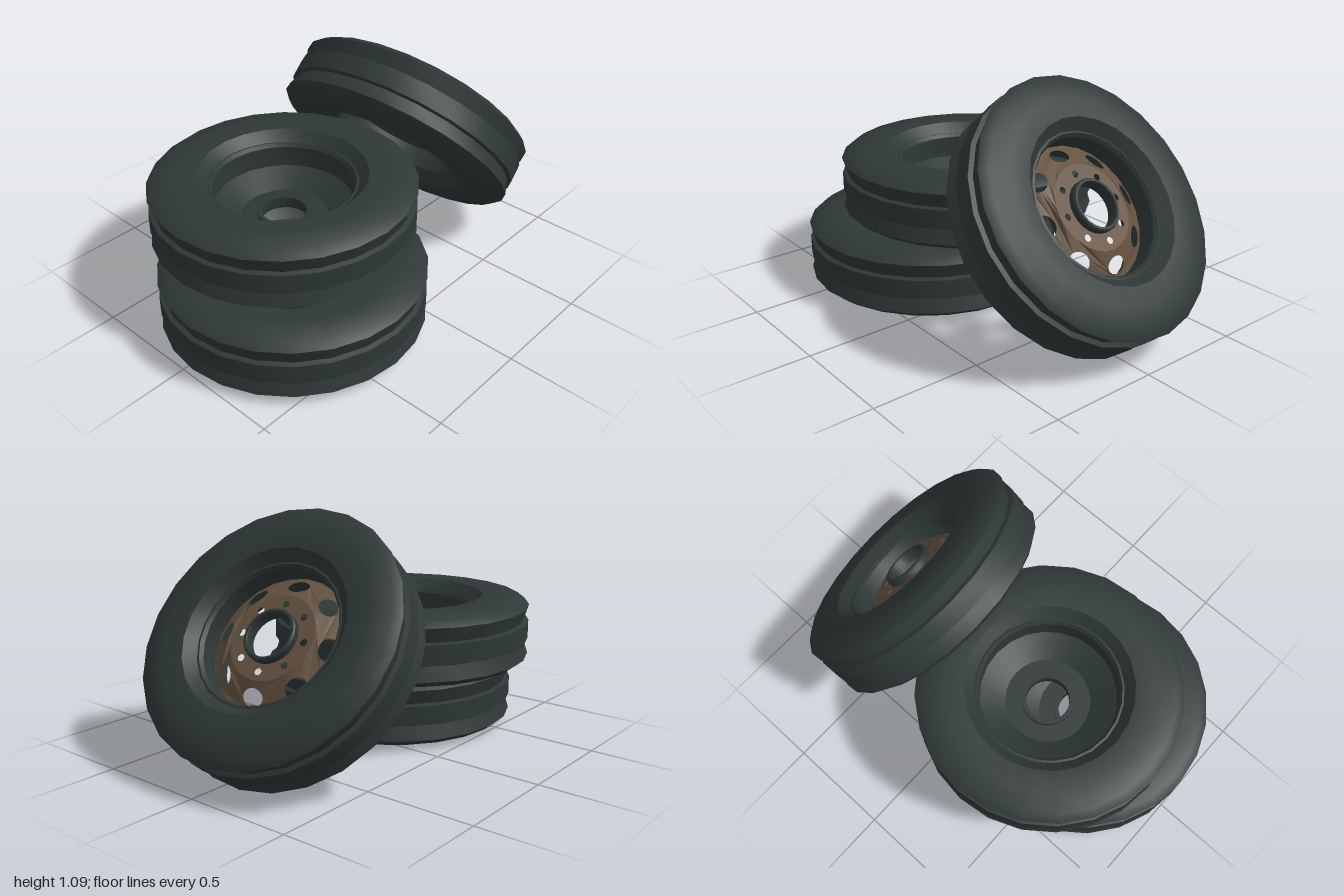
import * as THREE from 'three';
import { toCreasedNormals } from 'three/addons/utils/BufferGeometryUtils.js';

const SEGMENTS = 24;
const rubber = new THREE.MeshStandardMaterial({ color: 0x2e3837 });
const darkMetal = new THREE.MeshStandardMaterial({ color: 0x2c3635, side: THREE.DoubleSide });
const darkBack = new THREE.MeshStandardMaterial({ color: 0x2c3635, side: THREE.BackSide });
const rust = new THREE.MeshStandardMaterial({ color: 0x655240 });
rubber.name = 'rubber';
darkMetal.name = 'darkMetal';
darkBack.name = 'darkMetalBack';
rust.name = 'rustyBrown';

function addMesh(parent, name, geometry, material) {
  const mesh = new THREE.Mesh(geometry, material);
  mesh.name = name;
  parent.add(mesh);
  return mesh;
}

function lathe(points, crease = 0.5) {
  const profile = points.map(([r, y]) => new THREE.Vector2(r, y));
  return toCreasedNormals(new THREE.LatheGeometry(profile, SEGMENTS), crease);
}

// Closed tyre section: grooved tread, chamfered shoulders, sidewalls and inner barrel
function tyreGeometry() {
  const upper = [
    [0.605, 0.045], [0.585, 0.052], [0.606, 0.118], [0.57, 0.146],
    [0.475, 0.163], [0.385, 0.157], [0.34, 0.11], [0.33, 0.112], [0.318, 0.095],
  ];
  const lower = upper.map(([r, y]) => [r, -y]).reverse();
  const outerLower = lower.slice(-5);
  const innerLower = lower.slice(0, 5);
  return lathe([...outerLower, ...upper, ...innerLower]);
}

// Height of the dished disc at radius r
const dishHeight = (r) => (r <= 0.201 ? 0.07 : 0.07 - ((r - 0.2) / 0.12) * 0.065);

// Ring with eight elliptical holes, bent to the dish
function perforatedRing(inner, outer, holeRadius, radial, tangential) {
  const shape = new THREE.Shape();
  shape.absarc(0, 0, outer, 0, Math.PI * 2);
  const centre = new THREE.Path();
  centre.absarc(0, 0, inner, 0, Math.PI * 2, true);
  shape.holes.push(centre);
  for (let i = 0; i < 8; i++) {
    const a = (i * Math.PI) / 4;
    const hole = new THREE.Path();
    hole.absellipse(Math.cos(a) * holeRadius, Math.sin(a) * holeRadius,
      radial, tangential, 0, Math.PI * 2, true, a);
    shape.holes.push(hole);
  }
  const geometry = new THREE.ShapeGeometry(shape, SEGMENTS / 2);
  const p = geometry.attributes.position;
  for (let i = 0; i < p.count; i++) {
    p.setZ(i, dishHeight(Math.hypot(p.getX(i), p.getY(i))));
  }
  geometry.rotateX(-Math.PI / 2);
  return toCreasedNormals(geometry, 0.6);
}

const tyreShape = tyreGeometry();
const hubShape = lathe([
  [0.102, 0.05], [0.122, 0.05], [0.122, 0.098], [0.116, 0.106],
  [0.106, 0.106], [0.102, 0.098], [0.102, 0.05],
]);

function createWheel(name, perforated) {
  const wheel = new THREE.Group();
  wheel.name = name;
  addMesh(wheel, 'tyre', tyreShape, rubber);
  addMesh(wheel, 'hubRing', hubShape, darkMetal);
  if (perforated) {
    // Brown outer face, dark inner face
    const rings = {
      boltRing: perforatedRing(0.108, 0.2, 0.158, 0.016, 0.016),
      slottedRing: perforatedRing(0.2, 0.32, 0.26, 0.034, 0.05),
    };
    for (const [ringName, geometry] of Object.entries(rings)) {
      addMesh(wheel, ringName, geometry, rust);
      addMesh(wheel, ringName + 'Back', geometry, darkBack);
    }
  } else {
    const dish = lathe([[0.32, dishHeight(0.32)], [0.2, 0.07], [0.108, 0.07]]);
    addMesh(wheel, 'plainDish', dish, darkMetal);
  }
  return wheel;
}

export function createModel() {
  const model = new THREE.Group();
  model.name = 'wheelPile';

  // Two wheels lying face down
  const bottom = createWheel('bottomWheel', false);
  bottom.position.set(-0.395, 0.163, 0.072);
  bottom.rotation.x = Math.PI;
  const stacked = createWheel('stackedWheel', false);
  stacked.position.set(-0.3, 0.489, -0.073);
  stacked.rotation.x = Math.PI;

  // Third wheel leaning against the stack
  const leaning = createWheel('leaningWheel', true);
  leaning.position.set(0.53, 0.547, -0.055);
  leaning.rotation.set(0, 0.11, -0.885, 'YZX');

  model.add(bottom, stacked, leaning);
  return model;
}
